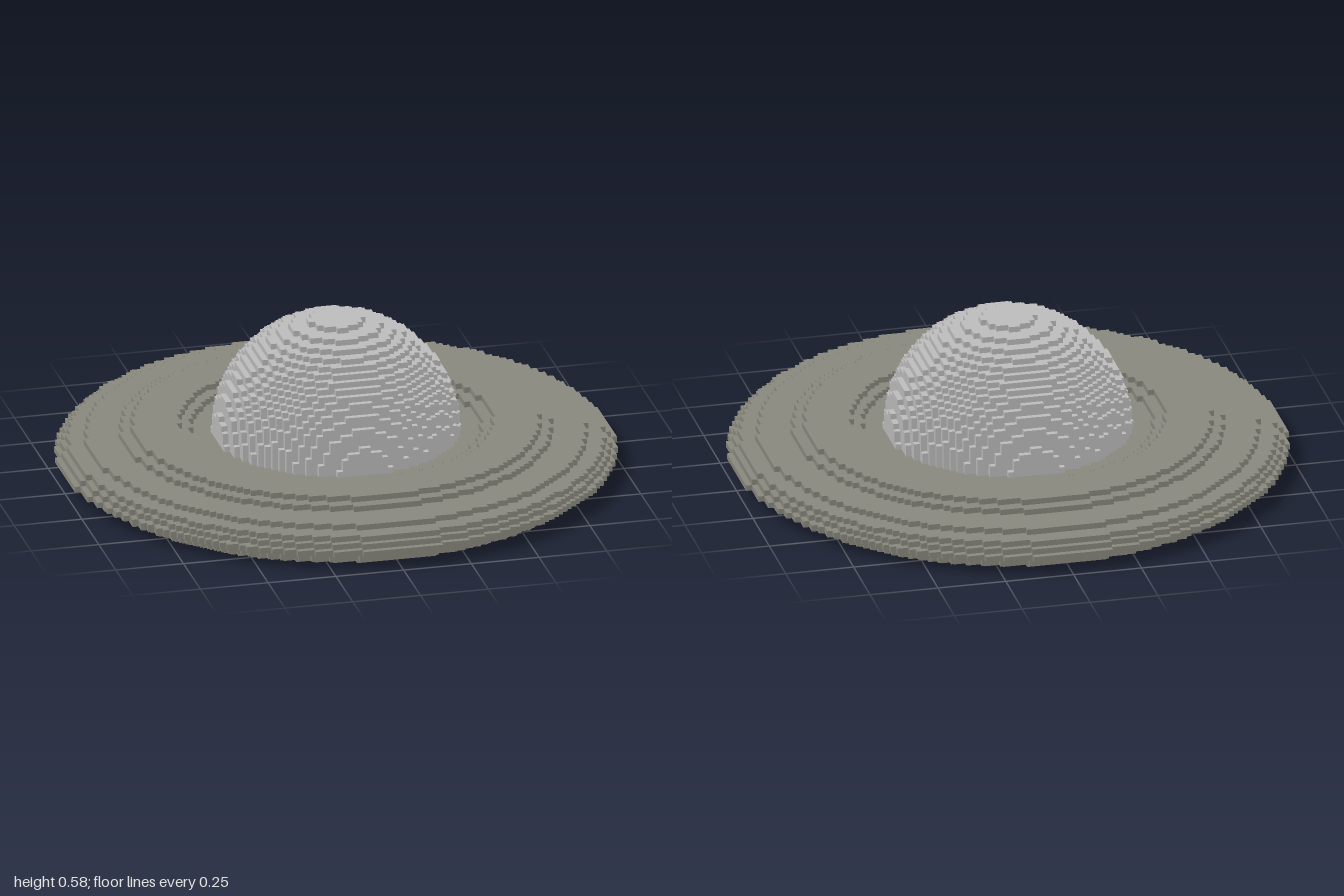
import * as THREE from 'three';

const N = 48;        // half width in cells
const S = 1 / N;     // cell size
const DOME_BASE = 7, DOME_R = 21, TOP = 28;

// Brim layers from the bottom up: [inner radius, outer radius] in cells
const BRIM = [
  [22, 43], [22, 45], [22, 45],
  [0, 48], [0, 47], [0, 46], [0, 43],
  [25, 37], [27, 35],
];

const radiusSq = (x, z) => (x + 0.5) ** 2 + (z + 0.5) ** 2;

function inBrim(x, y, z) {
  if (y < 0 || y >= BRIM.length) return false;
  const [inner, outer] = BRIM[y], d = radiusSq(x, z);
  return d >= inner * inner && d <= outer * outer;
}

function inDome(x, y, z) {
  if (y < DOME_BASE) return false;
  return radiusSq(x, z) + (y + 0.5 - DOME_BASE) ** 2 <= DOME_R * DOME_R;
}

// Builds the exposed cell faces of one part, hiding those against the other
function blocks(inPart) {
  const position = [], normal = [], index = [];
  const solid = (c) => inBrim(...c) || inDome(...c);
  for (let y = 0; y < TOP; y++)
    for (let x = -N; x < N; x++)
      for (let z = -N; z < N; z++) {
        if (!inPart(x, y, z)) continue;
        for (let axis = 0; axis < 3; axis++)
          for (const side of [1, -1]) {
            const next = [x, y, z];
            next[axis] += side;
            if (solid(next)) continue;
            const u = (axis + 1) % 3, v = (axis + 2) % 3;
            const start = position.length / 3;
            for (const [a, b] of [[0, 0], [1, 0], [1, 1], [0, 1]]) {
              const p = [x, y, z], n = [0, 0, 0];
              if (side > 0) p[axis] += 1;
              p[u] += a;
              p[v] += b;
              n[axis] = side;
              position.push(...p.map((c) => c * S));
              normal.push(...n);
            }
            const order = side > 0 ? [0, 1, 2, 0, 2, 3] : [0, 2, 1, 0, 3, 2];
            index.push(...order.map((i) => start + i));
          }
      }
  const geometry = new THREE.BufferGeometry();
  geometry.setAttribute('position', new THREE.Float32BufferAttribute(position, 3));
  geometry.setAttribute('normal', new THREE.Float32BufferAttribute(normal, 3));
  geometry.setIndex(index);
  return geometry;
}

export function createModel() {
  const model = new THREE.Group();
  model.name = 'saucer';

  const hullGrey = new THREE.MeshStandardMaterial({ color: 0x8c8b80 });
  hullGrey.name = 'hullGrey';
  const domeSilver = new THREE.MeshStandardMaterial({ color: 0xc0c0c0 });
  domeSilver.name = 'domeSilver';

  // Stepped disc with a raised ring on top and a round recess below
  const hull = new THREE.Mesh(blocks(inBrim), hullGrey);
  hull.name = 'hull';

  // Half sphere of blocks standing in the trough
  const dome = new THREE.Mesh(blocks(inDome), domeSilver);
  dome.name = 'dome';

  model.add(hull, dome);
  return model;
}
